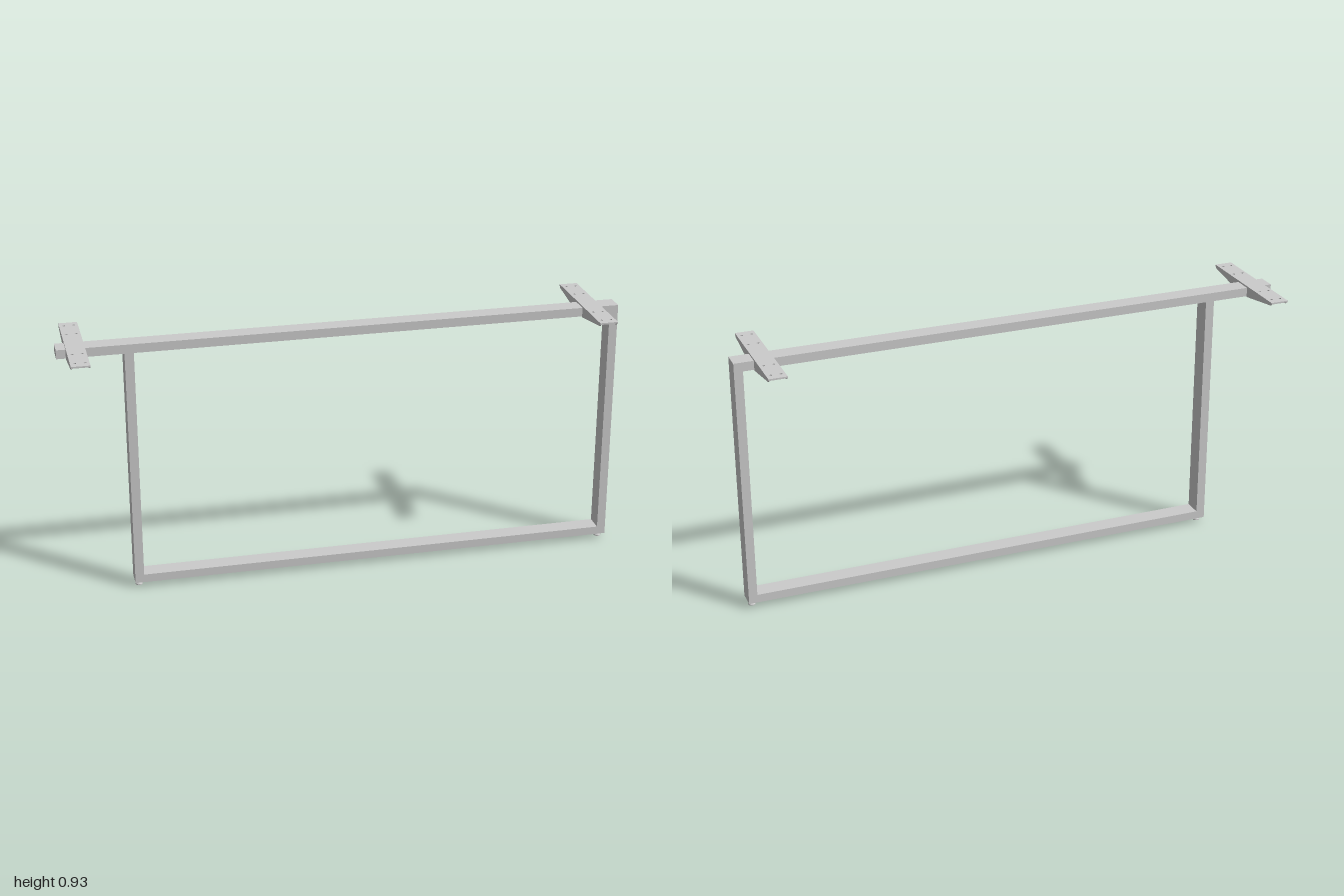
import * as THREE from 'three';

const material = new THREE.MeshStandardMaterial({ color: 0xcccccc });

function add(parent, name, geometry, x = 0, y = 0, z = 0) {
  const mesh = new THREE.Mesh(geometry, material);
  mesh.name = name;
  mesh.position.set(x, y, z);
  parent.add(mesh);
  return mesh;
}

// Rectangular bar spanning the given x and y limits, centred on z
const DEPTH = 0.066;
function bar(parent, name, x0, x1, y0, y1) {
  add(parent, name, new THREE.BoxGeometry(x1 - x0, y1 - y0, DEPTH), (x0 + x1) / 2, (y0 + y1) / 2, 0);
}

// Tapered channel with screw holes, notched over the top beam
function makeBracket(width, top, beamTop) {
  const bracket = new THREE.Group();
  const half = 0.215, sheet = 0.005;

  // Top plate, drawn flat and laid down
  const plate = new THREE.Shape();
  plate.moveTo(-width / 2, -half);
  plate.lineTo(width / 2, -half);
  plate.lineTo(width / 2, half);
  plate.lineTo(-width / 2, half);
  plate.closePath();
  for (const z of [-0.185, -0.099, 0.099, 0.185]) {
    for (const x of [-0.017, 0.017]) {
      plate.holes.push(new THREE.Path().absarc(x, z, 0.005, 0, Math.PI * 2, true));
    }
  }
  const plateGeometry = new THREE.ExtrudeGeometry(plate, { depth: top - beamTop, bevelEnabled: false, curveSegments: 8 });
  plateGeometry.rotateX(-Math.PI / 2);
  add(bracket, 'bracketPlate', plateGeometry, 0, beamTop, 0);

  // Tapered side flanges, in front of and behind the beam
  for (const side of [-1, 1]) {
    const flange = new THREE.Shape([
      [DEPTH / 2, 0.892], [0.207, 0.921], [half, top - 0.002], [half, top - 0.001], [DEPTH / 2, top - 0.001],
    ].map(([z, y]) => new THREE.Vector2(z, y)));
    for (const end of [-1, 1]) {
      const geometry = new THREE.ExtrudeGeometry(flange, { depth: sheet, bevelEnabled: false });
      geometry.translate(0, 0, -sheet / 2);
      geometry.rotateY(end * -Math.PI / 2);
      add(bracket, 'bracketFlange', geometry, side * (width - sheet) / 2, 0, 0);
    }
  }
  return bracket;
}

// Threaded stem on a flared pad
function makeFoot() {
  const profile = [[0, 0], [0.013, 0], [0.013, 0.003], [0.008, 0.01], [0.004, 0.01], [0.004, 0.021]];
  return new THREE.LatheGeometry(profile.map(([r, y]) => new THREE.Vector2(r, y)), 16).toNonIndexed();
}

export function createModel() {
  const model = new THREE.Group();
  model.name = 'tableFrame';
  const base = 0.02, beamBottom = 0.895, beamTop = 0.927, top = 0.933;

  // Rectangular frame with a beam overhanging on the right
  bar(model, 'topBeam', -1, 0.969, beamBottom, beamTop);
  bar(model, 'rightLeg', -0.77, -0.738, base, beamBottom);
  bar(model, 'leftLeg', 0.969, 1, base, beamTop);
  bar(model, 'bottomRail', -0.738, 0.969, base, 0.05);

  // Brackets carrying the tabletop
  for (const [name, x] of [['rightBracket', -0.935], ['leftBracket', 0.898]]) {
    const bracket = makeBracket(0.065, top, beamTop);
    bracket.name = name;
    bracket.position.x = x;
    model.add(bracket);
  }

  // Levelling feet
  for (const [name, x] of [['rightFoot', -0.754], ['leftFoot', 0.983]]) {
    const foot = makeFoot();
    foot.computeVertexNormals();
    add(model, name, foot, x, 0, 0);
  }
  return model;
}
